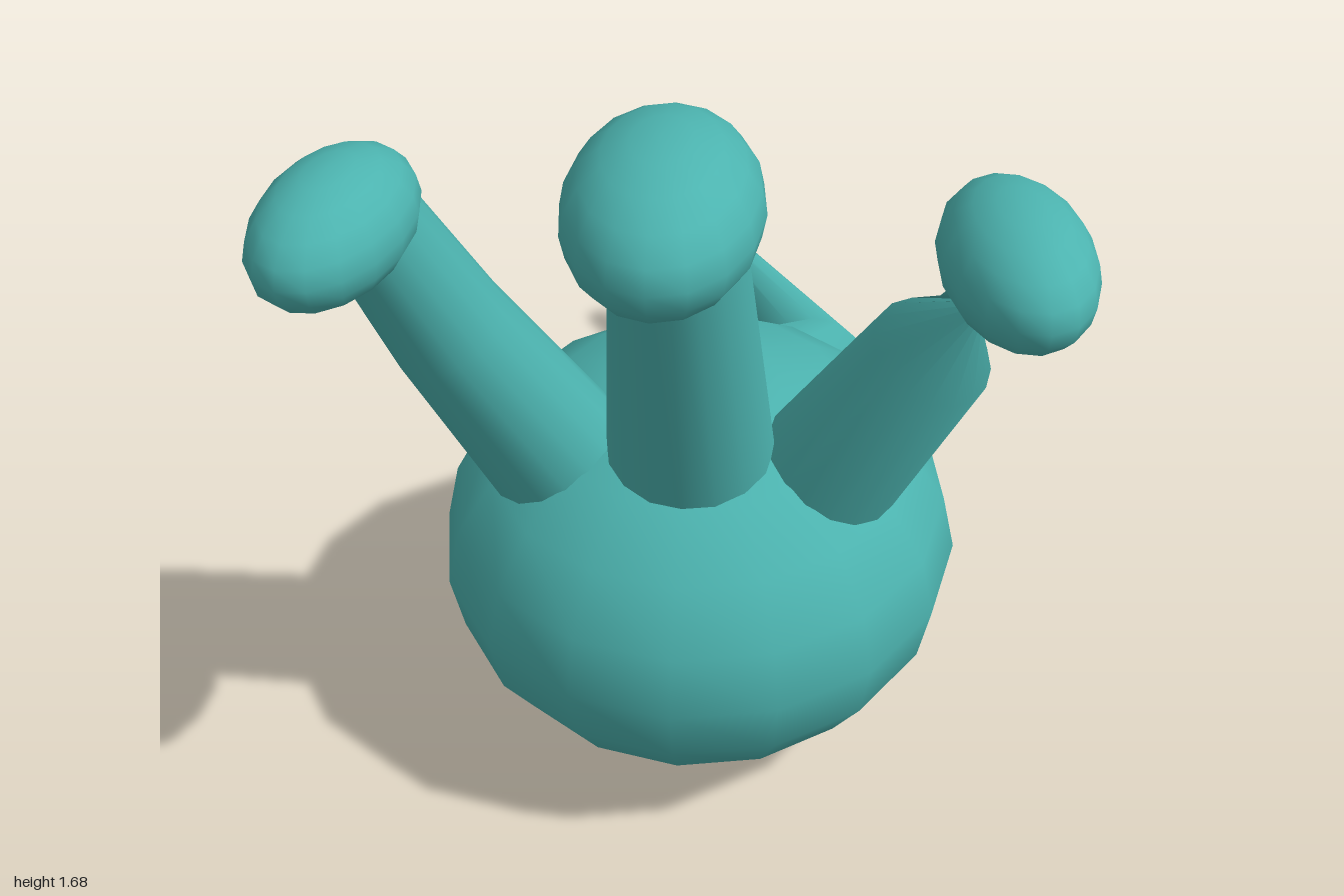
import * as THREE from 'three';
import { toCreasedNormals } from 'three/addons/utils/BufferGeometryUtils.js';

const SIDES = 16;

// Skin circular rings [x, y, z, radius, twist] along a path, with capped ends
function loft(rings, sides = SIDES) {
  const centres = rings.map(([x, y, z]) => new THREE.Vector3(x, y, z));
  const pos = [], index = [];
  const last = rings.length - 1;
  rings.forEach(([, , , r, twist = 0], i) => {
    // ring plane bisects the two neighbouring segments
    const n = new THREE.Vector3();
    if (i > 0) n.add(centres[i].clone().sub(centres[i - 1]).normalize());
    if (i < last) n.add(centres[i + 1].clone().sub(centres[i]).normalize());
    n.normalize();
    const u = new THREE.Vector3(1, 0, 0).addScaledVector(n, -n.x).normalize();
    const v = n.clone().cross(u);
    for (let j = 0; j < sides; j++) {
      const a = (j / sides) * Math.PI * 2 + twist;
      const p = centres[i].clone()
        .addScaledVector(u, r * Math.cos(a))
        .addScaledVector(v, r * Math.sin(a));
      pos.push(p.x, p.y, p.z);
    }
  });
  for (let i = 0; i < last; i++) {
    for (let j = 0; j < sides; j++) {
      const k = (j + 1) % sides;
      const a = i * sides + j, b = i * sides + k;
      index.push(a, b, a + sides, b, b + sides, a + sides);
    }
  }
  for (let j = 1; j < sides - 1; j++) {
    const e = last * sides;
    index.push(0, j + 1, j, e, e + j, e + j + 1);
  }
  const g = new THREE.BufferGeometry();
  g.setAttribute('position', new THREE.Float32BufferAttribute(pos, 3));
  g.setIndex(index);
  return toCreasedNormals(g, 0.8);
}

export function createModel() {
  const group = new THREE.Group();
  const teal = new THREE.MeshStandardMaterial({ color: 0x4cb3af, side: THREE.DoubleSide });
  teal.name = 'teal skin';

  const add = (name, geometry) => {
    const mesh = new THREE.Mesh(geometry, teal);
    mesh.name = name;
    group.add(mesh);
    return mesh;
  };
  const ellipsoid = (name, centre, radii, yaw = 0) => {
    const mesh = add(name, new THREE.SphereGeometry(1, SIDES, 10));
    mesh.position.set(...centre);
    mesh.scale.set(...radii);
    mesh.rotation.y = yaw;
  };

  // Body
  ellipsoid('body', [0, 0.405, 0.205], [0.525, 0.4, 0.545]);

  // Eyes, the outer pair turned slightly outward
  ellipsoid('middleEye', [0, 1.55, 0.75], [0.167, 0.137, 0.246]);
  for (const [name, s] of [['leftEye', 1], ['rightEye', -1]]) {
    ellipsoid(name, [s * 0.573, 1.41, 0.638], [0.13, 0.115, 0.21], s * 0.25);
  }

  // Eye stalks; the left one is wrung into a pinch near its top
  add('middleStalk', loft([[0, 0.6, 0.31, 0.175], [0, 1.49, 0.595, 0.112]]));
  for (const [name, s, twist] of [['leftStalk', 1, 2.8], ['rightStalk', -1, 0]]) {
    add(name, loft([
      [s * 0.22, 0.6, 0.3, 0.152],
      [s * 0.45, 1.04, 0.4, 0.118],
      [s * 0.545, 1.36, 0.535, 0.095, twist],
    ]));
  }

  // Bent tail
  add('tail', loft([
    [0, 0.335, -0.25, 0.208],
    [0.19, 0.25, -0.62, 0.118],
    [-0.105, 0.38, -0.985, 0.025],
  ], 12));

  return group;
}
